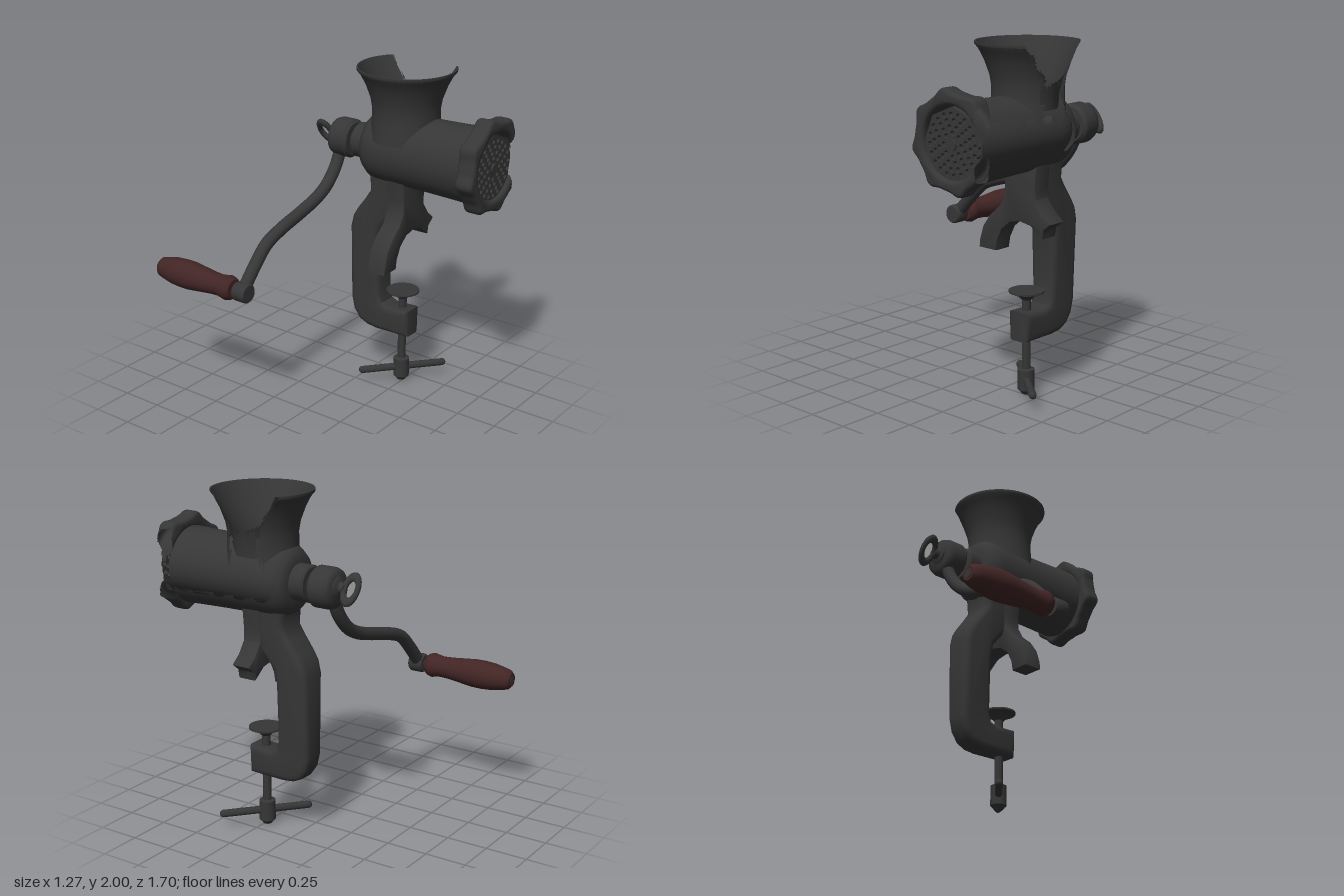
import * as THREE from 'three';
import { toCreasedNormals } from 'three/addons/utils/BufferGeometryUtils.js';

const AX = 0.41, AY = 1.51; // axis of the barrel
const HZ = 0.235;           // hopper and clamp screw depth
const CUT = 0.588;          // the left side is broken away beyond this x

const vecs = (pts) => pts.map(([x, y]) => new THREE.Vector2(x, y));
const latheY = (pts, x, z, n = 40) => new THREE.LatheGeometry(vecs(pts), n).translate(x, 0, z);
// profile points are [radius, z]
const latheZ = (pts, x, y, n = 40) =>
  new THREE.LatheGeometry(vecs(pts), n).rotateX(Math.PI / 2).translate(x, y, 0);
const rodZ = (r, z0, z1, x, y) => latheZ([[0, z0], [r, z0], [r, z1], [0, z1]], x, y, 24);

// Keeps the part of a geometry below a ragged plane near x = CUT; skip() drops whole triangles.
function breakOff(geometry, skip = () => false) {
  const p = geometry.toNonIndexed().getAttribute('position');
  const out = [];
  for (let i = 0; i < p.count; i += 3) {
    const tri = [0, 1, 2].map((k) => new THREE.Vector3().fromBufferAttribute(p, i + k));
    const mid = tri[0].clone().add(tri[1]).add(tri[2]).divideScalar(3);
    if (skip(mid)) continue;
    const limit = CUT + 0.008 * Math.sin(mid.y * 31 + mid.z * 43);
    const poly = [];
    tri.forEach((a, k) => {
      const b = tri[(k + 1) % 3];
      if (a.x <= limit) poly.push(a);
      if ((a.x <= limit) !== (b.x <= limit)) poly.push(a.clone().lerp(b, (limit - a.x) / (b.x - a.x)));
    });
    for (let k = 2; k < poly.length; k++) {
      for (const v of [poly[0], poly[k - 1], poly[k]]) out.push(v.x, v.y, v.z);
    }
  }
  const g = new THREE.BufferGeometry();
  g.setAttribute('position', new THREE.Float32BufferAttribute(out, 3));
  return g;
}

export function createModel() {
  const group = new THREE.Group();
  const iron = new THREE.MeshStandardMaterial({ color: 0x363636, side: THREE.DoubleSide });
  iron.name = 'castIron';
  const wood = new THREE.MeshStandardMaterial({ color: 0x422525, side: THREE.DoubleSide });
  wood.name = 'darkWood';
  const add = (name, geometry, material = iron) => {
    const mesh = new THREE.Mesh(toCreasedNormals(geometry, 0.7), material);
    mesh.name = name;
    group.add(mesh);
  };

  // Barrel, slightly narrower than tall, and its liner, both open where the hopper enters
  const underHopper = (m) => m.y > AY && Math.hypot(m.x - AX, m.z - HZ) < 0.155;
  const barrel = latheZ([[0.09, -0.01], [0.13, -0.01], [0.17, 0.01], [0.2, 0.05], [0.21, 0.1], [0.212, 0.17],
    [0.213, 0.24], [0.214, 0.31], [0.215, 0.38], [0.216, 0.45], [0.22, 0.6], [0.225, 0.74]], 0, AY - 0.005, 64)
    .scale(0.93, 1, 1).translate(AX, 0, 0);
  add('barrel', breakOff(barrel, underHopper));
  const liner = latheZ([[0.1, 0], [0.14, 0.02], [0.166, 0.07], [0.168, 0.14], [0.168, 0.21], [0.168, 0.28],
    [0.168, 0.35], [0.168, 0.42], [0.168, 0.6], [0.168, 0.78]], AX, AY - 0.005, 64);
  add('barrelLiner', breakOff(liner, underHopper));

  // Hopper with a flared, hollow mouth
  const hopper = latheY([[0.21, 1.58], [0.2, 1.68], [0.198, 1.76], [0.208, 1.82], [0.237, 1.9], [0.268, 1.96],
    [0.289, 1.985], [0.289, 2], [0.28, 2], [0.255, 1.95], [0.22, 1.87], [0.185, 1.79], [0.168, 1.72], [0.165, 1.64]],
    AX, HZ - 0.004, 56);
  add('hopper', breakOff(hopper));

  // Waisted feed screw core below the hopper
  add('feedScrew', latheZ([[0.15, 0.06], [0.13, 0.1], [0.095, 0.15], [0.08, 0.2], [0.08, 0.25], [0.095, 0.3],
    [0.13, 0.35], [0.155, 0.4]], AX, AY));

  // Lobed clamping ring
  const ring = new THREE.Shape();
  for (let i = 0; i <= 140; i++) {
    const a = (i / 140) * Math.PI * 2;
    const r = 0.258 + 0.028 * Math.pow(0.5 + 0.5 * Math.cos(8 * (a - 1.78)), 2);
    ring[i ? 'lineTo' : 'moveTo'](r * Math.cos(a), r * Math.sin(a));
  }
  ring.holes.push(new THREE.Path().absarc(0, 0, 0.195, 0, Math.PI * 2, true));
  add('clampingRing', breakOff(new THREE.ExtrudeGeometry(ring, {
    depth: 0.06, bevelThickness: 0.025, bevelSize: 0.02, bevelOffset: -0.02, bevelSegments: 3, curveSegments: 48,
  }).translate(AX, AY + 0.012, 0.76)));

  // Perforated cutting plate
  const plate = new THREE.Shape().absarc(0, 0, 0.2, 0, Math.PI * 2, false);
  [[0.062, 8], [0.095, 12], [0.128, 16], [0.16, 20]].forEach(([r, n], row) => {
    for (let i = 0; i < n; i++) {
      const a = ((i + row * 0.4) / n) * Math.PI * 2;
      plate.holes.push(new THREE.Path().absarc(r * Math.cos(a), r * Math.sin(a), 0.0145, 0, Math.PI * 2, true));
    }
  });
  add('cuttingPlate', breakOff(new THREE.ExtrudeGeometry(plate, {
    depth: 0.03, bevelEnabled: false, curveSegments: 4,
  }).translate(AX, AY, 0.79)));
  add('plateHub', rodZ(0.03, 0.8, 0.832, AX, AY));

  // C-shaped frame, narrowing towards the bottom
  const frame = new THREE.Shape(vecs([[0.02, 1.44], [0.04, 1.32], [0.045, 1.24], [0.005, 1.18], [-0.055, 1.1],
    [-0.085, 1.05], [-0.103, 0.98], [-0.105, 0.5], [-0.088, 0.42], [-0.047, 0.36], [0.01, 0.333], [0.08, 0.325],
    [0.31, 0.33], [0.31, 0.5], [0.16, 0.495], [0.12, 0.51], [0.105, 0.56], [0.103, 0.7], [0.103, 0.92], [0.12, 1],
    [0.17, 1.06], [0.23, 1.12], [0.25, 1.3], [0.25, 1.4]]));
  const frameGeo = new THREE.ExtrudeGeometry(frame, {
    depth: 0.12, bevelThickness: 0.04, bevelSize: 0.04, bevelOffset: -0.04, bevelSegments: 4,
  }).translate(0, 0, -0.06).rotateY(-Math.PI / 2);
  const fp = frameGeo.getAttribute('position');
  for (let i = 0; i < fp.count; i++) {
    const k = Math.min(1.1, 0.7 + 0.4 * (fp.getY(i) - 0.33));
    fp.setX(i, fp.getX(i) * k + AX);
  }
  add('frame', frameGeo);

  // Forked foot with one broken leg
  const foot = new THREE.Shape(vecs([[0.29, 1.34], [0.3, 1.22], [0.3, 1.15], [0.26, 1.08], [0.19, 1.02], [0.14, 0.95],
    [0.115, 0.87], [0.11, 0.82], [0.235, 0.82], [0.245, 0.88], [0.28, 0.95], [0.34, 1], [0.41, 1.015], [0.49, 1],
    [0.53, 0.97], [0.57, 0.94], [0.58, 0.99], [0.63, 1.03], [0.57, 1.08], [0.52, 1.15], [0.52, 1.22], [0.53, 1.34]]));
  add('forkedFoot', new THREE.ExtrudeGeometry(foot, {
    depth: 0.1, bevelThickness: 0.01, bevelSize: 0.01, bevelOffset: -0.01, bevelSegments: 2,
  }).translate(0, 0, 0.19));

  // Clamp screw with pad, hub and cross bar
  add('clampScrew', latheY([[0, 0.05], [0.025, 0.05], [0.025, 0.6], [0, 0.6]], AX, HZ, 20));
  add('clampPad', latheY([[0, 0.56], [0.03, 0.56], [0.05, 0.58], [0.1, 0.602], [0.1, 0.612], [0, 0.612]], AX, HZ, 32));
  add('screwHub', latheY([[0, 0], [0.025, 0.004], [0.04, 0.025], [0.048, 0.03], [0.048, 0.15], [0.03, 0.155],
    [0, 0.155]], AX, HZ, 24));
  add('crossBar', new THREE.CapsuleGeometry(0.022, 0.51, 6, 16).rotateZ(Math.PI / 2)
    .rotateY(-0.72).translate(AX + 0.005, 0.09, HZ + 0.005));

  // Rear bearing, crank hub and thumb screw
  add('rearBearing', latheZ([[0, -0.13], [0.06, -0.13], [0.06, -0.1], [0.095, -0.1], [0.105, -0.09], [0.105, 0.03]],
    AX, AY - 0.005));
  add('crankHub', latheZ([[0, -0.268], [0.09, -0.268], [0.108, -0.255], [0.117, -0.23], [0.117, -0.145],
    [0.1, -0.125], [0, -0.125]], AX, AY - 0.01));
  add('thumbScrewShank', latheZ([[0, -0.31], [0.025, -0.31], [0.035, -0.285], [0.06, -0.275], [0.06, -0.26]], AX, AY));
  add('thumbScrewRing', new THREE.TorusGeometry(0.046, 0.017, 12, 32).scale(1.6, 0.9, 1)
    .rotateX(Math.PI / 2).rotateZ(-0.98).translate(AX, AY, -0.347));

  // Bent crank arm
  const path = new THREE.CatmullRomCurve3([[0.4, 1.47], [0.34, 1.34], [0.25, 1.24], [0.15, 1.185], [0, 1.14],
    [-0.2, 1.09], [-0.33, 1.04], [-0.43, 0.95], [-0.55, 0.82]].map(([x, y]) => new THREE.Vector3(x, y, -0.22)));
  add('crankArm', new THREE.TubeGeometry(path, 64, 0.038, 16));
  add('crankEnd', latheZ([[0, -0.262], [0.05, -0.262], [0.058, -0.25], [0.058, -0.18], [0.05, -0.17], [0, -0.17]],
    -0.552, 0.82, 28));

  // Grip
  add('gripPin', rodZ(0.024, -0.851, -0.25, -0.552, 0.82));
  add('grip', latheZ([[0, -0.848], [0.04, -0.848], [0.058, -0.83], [0.066, -0.8], [0.08, -0.73], [0.085, -0.66],
    [0.084, -0.6], [0.075, -0.52], [0.066, -0.44], [0.063, -0.38], [0.07, -0.34], [0.074, -0.32], [0.066, -0.295],
    [0.055, -0.282], [0, -0.282]], -0.552, 0.82, 32), wood);

  return group;
}
